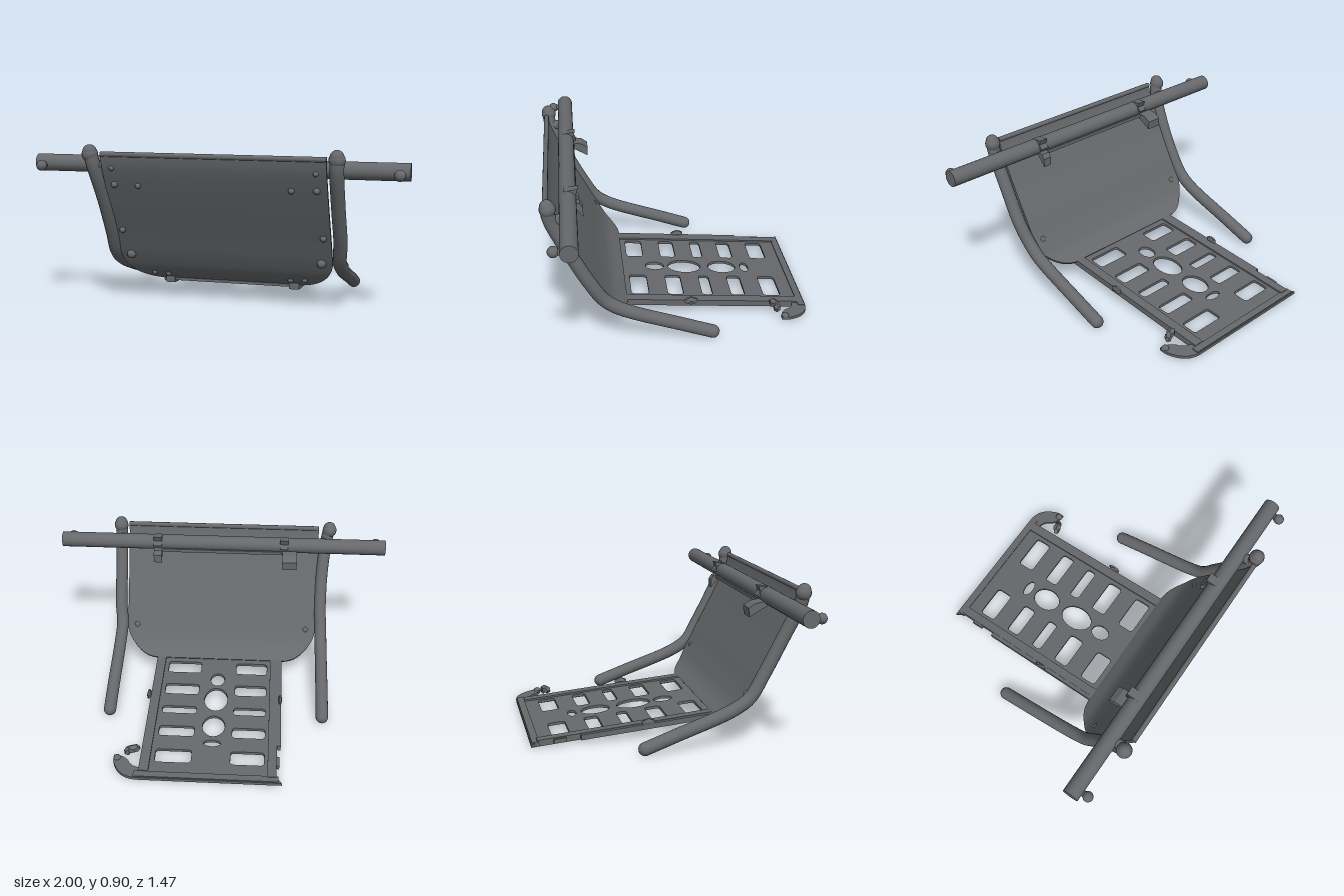
import * as THREE from 'three';

const V = (x, y, z) => new THREE.Vector3(x, y, z);

export function createModel() {
  const group = new THREE.Group();
  const steel = new THREE.MeshStandardMaterial({ color: 0x66686b, side: THREE.DoubleSide });
  steel.name = 'dark grey steel';

  const add = (name, geometry, x = 0, y = 0, z = 0) => {
    const mesh = new THREE.Mesh(geometry, steel);
    mesh.name = name;
    mesh.position.set(x, y, z);
    group.add(mesh);
    return mesh;
  };
  const ball = (name, r, x, y, z) => add(name, new THREE.SphereGeometry(r, 16, 12), x, y, z);
  const tube = (name, points, r) => {
    const curve = new THREE.CatmullRomCurve3(points, false, 'centripetal');
    add(name, new THREE.TubeGeometry(curve, 48, r, 16), 0, 0, 0);
    for (const p of [points[0], points[points.length - 1]]) ball(name + 'Cap', r, p.x, p.y, p.z);
  };

  // Bent side tubes, with slightly flared top ends
  for (const s of [-1, 1]) {
    const flare = s < 0 ? [0.66, 0.645, 0.625, 0.622] : [0.645, 0.643, 0.642, 0.642];
    tube(s < 0 ? 'rightSideTube' : 'leftSideTube', [
      V(s * flare[0], 0.865, 0.695), V(s * flare[1], 0.79, 0.685), V(s * flare[2], 0.6, 0.6),
      V(s * flare[3], 0.4, 0.497), V(s * 0.63, 0.285, 0.425), V(s * 0.632, 0.225, 0.34),
      V(s * 0.635, 0.1, 0.0), V(s * 0.635, 0.043, -0.16),
    ], 0.037);
    ball('tubeTopKnob', 0.043, s * flare[0], 0.85, 0.692);
  }

  // Front plate: a box bent along a profile, rounded at the lower corners
  const profile = new THREE.CatmullRomCurve3([
    V(0, 0.862, 0.708), V(0, 0.79, 0.69), V(0, 0.6, 0.602), V(0, 0.4, 0.497),
    V(0, 0.27, 0.43), V(0, 0.18, 0.37), V(0, 0.118, 0.295),
  ], false, 'centripetal');
  const halfWidth = y => {
    const k = THREE.MathUtils.clamp((0.28 - y) / (0.28 - 0.118), 0, 1);
    return 0.39 + 0.205 * Math.sqrt(1 - k * k);
  };
  const plate = new THREE.BoxGeometry(1, 1, 1, 8, 80, 1);
  const pos = plate.attributes.position;
  for (let i = 0; i < pos.count; i++) {
    const u = 1 - (pos.getY(i) + 0.5) ** 2;
    const p = profile.getPointAt(u), t = profile.getTangentAt(u);
    const d = pos.getZ(i) * 0.016;
    pos.setXYZ(i, pos.getX(i) * 2 * halfWidth(p.y), p.y + t.z * d, p.z - t.y * d);
  }
  plate.computeVertexNormals();
  add('frontPlate', plate);
  const lip = new THREE.CylinderGeometry(0.014, 0.014, 1.19, 12).rotateZ(Math.PI / 2);
  add('frontPlateTopLip', lip, 0, 0.853, 0.705);

  // Bolts on the front plate: x, y, radius
  const bolts = [[0.54, 0.78, 0.014], [0.54, 0.69, 0.018], [0.41, 0.685, 0.016], [0.555, 0.42, 0.017],
    [0.535, 0.27, 0.025], [0.43, 0.155, 0.016], [0.35, 0.15, 0.016]];
  const samples = profile.getSpacedPoints(200);
  for (const [x, y, r] of bolts) {
    const p = samples.reduce((a, b) => (Math.abs(b.y - y) < Math.abs(a.y - y) ? b : a));
    for (const s of [-1, 1]) ball('plateBolt', r, s * x, p.y, p.z + 0.012);
  }

  // Upper crossbar with end knobs
  add('crossbar', new THREE.CylinderGeometry(0.046, 0.046, 2, 24).rotateZ(Math.PI / 2), 0, 0.79, 0.592);
  for (const s of [-1, 1]) {
    ball('crossbarKnob', 0.029, s * 0.95, 0.78, 0.668);
    const stem = new THREE.CylinderGeometry(0.018, 0.018, 0.06, 12).rotateX(Math.PI / 2);
    add('crossbarKnobStem', stem, s * 0.95, 0.78, 0.64);
    // Stay between the crossbar and the side tube
    const stay = new THREE.CylinderGeometry(0.028, 0.028, 0.1, 12).rotateX(Math.PI / 2);
    add('crossbarStay', stay, s * 0.635, 0.785, 0.645);
  }

  // Ragged clamps behind the crossbar, outlined in z and y
  const sidePiece = (name, pts, x, width) => {
    const shape = new THREE.Shape(pts.map(p => new THREE.Vector2(p[0], p[1])));
    const g = new THREE.ExtrudeGeometry(shape, { depth: width, bevelEnabled: false });
    add(name, g.rotateY(-Math.PI / 2), x + width / 2, 0, 0);
  };
  const flap = [[0.57, 0.77], [0.5, 0.76], [0.465, 0.735], [0.468, 0.685], [0.52, 0.715], [0.575, 0.745]];
  const horn = [[0.61, 0.835], [0.537, 0.845], [0.548, 0.815], [0.53, 0.79], [0.57, 0.77]];
  sidePiece('rightClampFlap', flap, -0.415, 0.09);
  sidePiece('rightClampHorn', horn, -0.38, 0.05);
  sidePiece('leftClampHorn', horn, 0.4, 0.05);
  sidePiece('leftClampFlap', flap.map(([z, y]) => [z * 0.5 + 0.28, y]), 0.4, 0.05);
  add('clampRail', new THREE.BoxGeometry(0.76, 0.02, 0.02), 0, 0.755, 0.553);

  // Skid rack: shapes drawn in x and z, then tilted down to the rear
  const rackY = z => 0.083 + 0.086 * z;
  const tilt = g => {
    const p = g.attributes.position;
    for (let i = 0; i < p.count; i++) p.setY(i, p.getY(i) + rackY(p.getZ(i)));
    g.computeVertexNormals();
    return g;
  };
  const shape = new THREE.Shape();
  shape.moveTo(-0.4, 0.735);
  shape.lineTo(-0.37, 0.69);
  shape.lineTo(-0.37, 0.62);
  shape.lineTo(-0.34, 0.45);
  shape.lineTo(-0.34, -0.31);
  shape.lineTo(0.37, -0.31);
  shape.lineTo(0.37, 0.66);
  shape.quadraticCurveTo(0.44, 0.66, 0.46, 0.61);
  shape.quadraticCurveTo(0.49, 0.57, 0.545, 0.57);
  shape.lineTo(0.545, 0.61);
  shape.quadraticCurveTo(0.51, 0.735, 0.4, 0.735);
  shape.closePath();

  // Rounded slots in two columns and ovals along the middle
  const slot = (x0, x1, z0, z1) => {
    const r = 0.022, h = new THREE.Path(), a = -z1, b = -z0;
    h.moveTo(x0 + r, a);
    h.lineTo(x1 - r, a); h.quadraticCurveTo(x1, a, x1, a + r);
    h.lineTo(x1, b - r); h.quadraticCurveTo(x1, b, x1 - r, b);
    h.lineTo(x0 + r, b); h.quadraticCurveTo(x0, b, x0, b - r);
    h.lineTo(x0, a + r); h.quadraticCurveTo(x0, a, x0 + r, a);
    shape.holes.push(h);
  };
  for (const [z0, z1] of [[-0.61, -0.51], [-0.4, -0.32], [-0.21, -0.15], [-0.04, 0.05], [0.16, 0.26]]) {
    slot(-0.3, -0.11, z0, z1);
    slot(0.11, 0.315, z0, z1);
  }
  for (const [z, rx, rz] of [[-0.45, 0.05, 0.025], [-0.31, 0.066, 0.085], [-0.08, 0.07, 0.1], [0.1, 0.043, 0.056]]) {
    shape.holes.push(new THREE.Path().absellipse(0, -z, rx, rz, 0, Math.PI * 2, true));
  }
  const deck = new THREE.ExtrudeGeometry(shape, { depth: 0.016, bevelEnabled: false, curveSegments: 10 });
  add('rackDeck', tilt(deck.translate(0, 0, -0.008).rotateX(-Math.PI / 2)));

  // Rack side rails and rear edge
  const bar = (name, x0, x1, z0, z1, h) =>
    add(name, tilt(new THREE.BoxGeometry(x1 - x0, h, z1 - z0).translate((x0 + x1) / 2, 0, (z0 + z1) / 2)));
  bar('rightRail', -0.37, -0.32, -0.7, 0.33, 0.036);
  bar('rightRailFlange', -0.392, -0.36, -0.46, 0.3, 0.03);
  bar('rightRailRearFlange', -0.385, -0.36, -0.61, -0.54, 0.024);
  bar('leftRail', 0.34, 0.395, -0.69, 0.33, 0.036);
  bar('rearEdge', -0.38, 0.42, -0.73, -0.69, 0.028);

  // Torn tabs beside the rails
  const tab = (x, y, z, sx, sy, sz, turn) => {
    const m = add('railTab', new THREE.DodecahedronGeometry(1), x, y, z);
    m.scale.set(sx, sy, sz);
    m.rotation.y = turn;
  };
  tab(0.44, 0.07, -0.545, 0.045, 0.026, 0.025, 0.4);
  tab(0.47, 0.06, -0.555, 0.02, 0.03, 0.022, -0.5);
  tab(0.405, 0.1, -0.07, 0.014, 0.026, 0.04, 0);
  tab(-0.385, 0.1, -0.08, 0.012, 0.024, 0.04, 0);
  ball('hookTip', 0.022, 0.525, 0.036, -0.59);

  return group;
}
